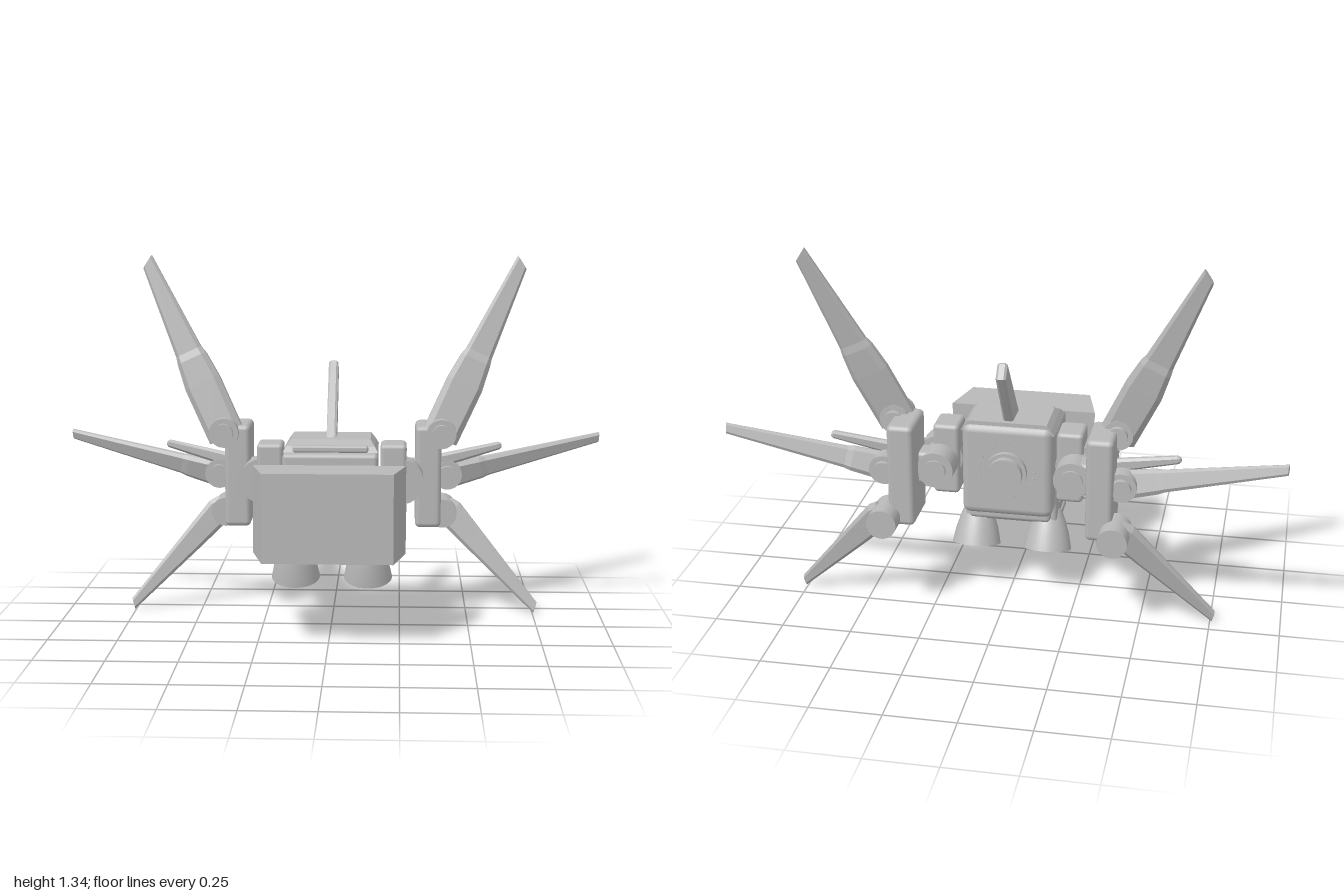
import * as THREE from 'three';
import { RoundedBoxGeometry } from 'three/addons/geometries/RoundedBoxGeometry.js';

const grey = new THREE.MeshStandardMaterial({ color: 0xb8b8b8 });
grey.name = 'grey';

function add(parent, name, geometry, x = 0, y = 0, z = 0) {
  const mesh = new THREE.Mesh(geometry, grey);
  mesh.name = name;
  mesh.position.set(x, y, z);
  parent.add(mesh);
  return mesh;
}

const block = (w, h, d, r = 0.015) => new RoundedBoxGeometry(w, h, d, 2, r);

// Cylinder along z, between two depths
function drum(parent, name, r, x, y, z0, z1) {
  const g = new THREE.CylinderGeometry(r, r, Math.abs(z1 - z0), 32).rotateX(Math.PI / 2);
  return add(parent, name, g, x, y, (z0 + z1) / 2);
}

// Faceted solid through matching rings of points, counter-clockwise about the path
function loft(rings) {
  const pos = [];
  const tri = (...p) => p.forEach(v => pos.push(v.x, v.y, v.z));
  const n = rings[0].length;
  for (let k = 0; k < rings.length - 1; k++) {
    const a = rings[k], b = rings[k + 1];
    for (let i = 0; i < n; i++) {
      const j = (i + 1) % n;
      tri(a[i], a[j], b[j]);
      tri(a[i], b[j], b[i]);
    }
  }
  const first = rings[0], last = rings[rings.length - 1];
  for (let i = 1; i < n - 1; i++) {
    tri(first[0], first[i + 1], first[i]);
    tri(last[0], last[i], last[i + 1]);
  }
  const g = new THREE.BufferGeometry();
  g.setAttribute('position', new THREE.Float32BufferAttribute(pos, 3));
  g.computeVertexNormals();
  return g;
}

// Bevelled blade; each station is [lower edge t, upper edge t, lower u, upper u, half thickness]
function blade(parent, name, s, pivot, tip, across, stations) {
  const a = new THREE.Vector3(s * pivot[0], pivot[1], pivot[2]);
  const axis = new THREE.Vector3(s * tip[0], tip[1], tip[2]).sub(a);
  const d = axis.clone().normalize();
  const u = new THREE.Vector3(s * across[0], across[1], across[2]);
  u.addScaledVector(d, -u.dot(d)).normalize();
  const n = d.clone().cross(u);
  const rings = stations.map(([t0, t1, lo, hi, h]) => {
    const c = Math.min(h * 0.7, (hi - lo) * 0.25), e = h * 0.4;
    return [[hi, -e], [hi, e], [hi - c, h], [lo + c, h], [lo, e], [lo, -e], [lo + c, -h], [hi - c, -h]]
      .map(([v, w]) => {
        const t = t0 + (t1 - t0) * (v - lo) / (hi - lo);
        return a.clone().addScaledVector(axis, t).addScaledVector(u, v).addScaledVector(n, w);
      });
  });
  add(parent, name, loft(rings));
}

// Hinge barrel with a smaller pin through it
function hinge(parent, name, x, y, z0, z1) {
  drum(parent, name + 'Barrel', 0.054, x, y, z0 - 0.02, z1 + 0.02);
  drum(parent, name + 'Pin', 0.036, x, y, z0, z1);
}

function buildBody(root) {
  const body = new THREE.Group();
  body.name = 'body';
  root.add(body);
  add(body, 'frontBody', block(0.34, 0.38, 0.2), 0, 0.47, 0.03);
  add(body, 'rearBody', block(0.33, 0.35, 0.17, 0.03), 0, 0.515, -0.07);
  add(body, 'lowerStep', block(0.3, 0.07, 0.15), 0, 0.335, -0.03);
  add(body, 'bottomPlate', block(0.36, 0.03, 0.14, 0.01), 0, 0.3, 0.03);

  // Sloping cap on top
  const cap = [[0.66, 0.17, 0.09], [0.68, 0.158, 0.075], [0.7, 0.142, 0.035]].map(([y, x, z]) =>
    [[x, z], [x, -0.14], [-x, -0.14], [-x, z]].map(([px, pz]) => new THREE.Vector3(px, y, pz)));
  add(body, 'topCap', loft(cap));
  add(body, 'topRidge', block(0.27, 0.025, 0.03, 0.008), 0, 0.672, 0.08);

  // Leaning fin
  const fin = new THREE.Shape([[0, 0.69], [0.215, 0.955], [0.225, 0.955], [0.262, 0.91], [0.115, 0.69]]
    .map(p => new THREE.Vector2(...p)));
  const finGeo = new THREE.ExtrudeGeometry(fin, {
    depth: 0.02, bevelThickness: 0.008, bevelSize: 0.006, bevelOffset: -0.006, bevelSegments: 1,
  }).translate(0, 0, -0.01).rotateY(Math.PI / 2);
  add(body, 'topFin', finGeo);

  // Round hub and rivets on the back
  drum(body, 'rearHub', 0.062, 0, 0.52, -0.2, -0.14);
  drum(body, 'rearHubFlange', 0.075, 0, 0.52, -0.175, -0.14);
  for (let i = 0; i < 24; i++) {
    const a = i / 24 * Math.PI * 2;
    drum(body, 'rivet', 0.005, 0.1 * Math.cos(a), 0.52 + 0.1 * Math.sin(a), -0.158, -0.15);
  }

  // Separate tapered block in front
  const box = [[0.18, 0.27], [0.355, 0.227]].map(([z, x]) =>
    [[x, 0.315], [x, 0.63], [-x, 0.63], [-x, 0.315]].map(([px, py]) => new THREE.Vector3(px, py, z)));
  add(root, 'frontBlock', loft(box));
}

function buildThruster(root, s) {
  const g = new THREE.Group();
  g.name = 'thruster';
  // Closed hollow bell, listed from inside throat to outside top
  const bell = [[0, 0.1], [0.04, 0.1], [0.066, 0.05], [0.081, 0], [0.081, 0], [0.089, 0], [0.089, 0],
    [0.078, 0.055], [0.062, 0.105], [0.045, 0.148], [0.045, 0.148], [0, 0.148]];
  add(g, 'bell', new THREE.LatheGeometry(bell.map(p => new THREE.Vector2(...p)), 36));
  add(g, 'neck', new THREE.CylinderGeometry(0.05, 0.042, 0.03, 32), 0, 0.165, 0);
  add(g, 'neckRing', new THREE.CylinderGeometry(0.045, 0.045, 0.05, 32), 0, 0.195, 0);
  add(g, 'mount', new THREE.CylinderGeometry(0.053, 0.053, 0.07, 32), 0, 0.245, 0);
  g.position.set(s * 0.133, 0.175, -0.05);
  g.rotation.x = 0.286;
  root.add(g);
}

function buildWing(root, s) {
  const wing = new THREE.Group();
  wing.name = s > 0 ? 'leftWing' : 'rightWing';
  root.add(wing);

  // Shoulder block, swivel and upright carrier
  add(wing, 'shoulderBlock', block(0.095, 0.265, 0.125), s * 0.225, 0.54, -0.077);
  drum(wing, 'swivelFront', 0.083, s * 0.252, 0.535, -0.11, -0.02);
  drum(wing, 'swivelRear', 0.066, s * 0.246, 0.535, -0.23, -0.1);
  drum(wing, 'swivelCap', 0.04, s * 0.246, 0.535, -0.24, -0.22);
  add(wing, 'swivelArm', block(0.08, 0.12, 0.09), s * 0.28, 0.535, -0.175);
  add(wing, 'carrier', block(0.095, 0.38, 0.195, 0.018), s * 0.353, 0.535, -0.21);

  // Hinges
  hinge(wing, 'upperHinge', s * 0.4, 0.7, -0.065, -0.205);
  hinge(wing, 'middleHinge', s * 0.425, 0.535, -0.145, -0.28);
  hinge(wing, 'lowerHinge', s * 0.41, 0.375, -0.355, -0.255);

  // Blades
  blade(wing, 'upperBlade', s, [0.4, 0.7, -0.145], [0.693, 1.328, -0.258], [0.91, -0.42, 0], [
    [-0.03, -0.03, -0.066, 0.07, 0.03], [0.28, 0.28, -0.066, 0.072, 0.027], [0.42, 0.42, -0.056, 0.06, 0.024],
    [0.46, 0.46, -0.048, 0.054, 0.018], [1.01, 0.965, -0.019, 0.03, 0.011]]);
  blade(wing, 'middleBlade', s, [0.42, 0.53, -0.207], [0.995, 0.665, -0.285], [-0.229, 0.973, 0.35], [
    [0, 0, -0.056, 0.049, 0.022], [0.22, 0.22, -0.047, 0.042, 0.02],
    [0.26, 0.26, -0.042, 0.037, 0.016], [0.99, 1.005, -0.019, 0.018, 0.01]]);
  blade(wing, 'lowerBlade', s, [0.41, 0.375, -0.295], [0.762, 0.025, -0.185], [0.707, 0.707, 0], [
    [0, -0.02, -0.035, 0.06, 0.02], [0.1, 0.05, -0.032, 0.07, 0.02],
    [0.3, 0.3, -0.03, 0.056, 0.016], [1.015, 0.975, -0.018, 0.018, 0.011]]);
  blade(wing, 'smallBlade', s, [0.4, 0.59, -0.18], [0.625, 0.643, -0.215], [-0.229, 0.973, 0], [
    [0, 0, -0.026, 0.024, 0.014], [0.96, 0.96, -0.014, 0.014, 0.013], [1, 1, -0.008, 0.008, 0.008]]);
}

export function createModel() {
  const root = new THREE.Group();
  root.name = 'wingedBackpack';
  buildBody(root);
  for (const s of [1, -1]) {
    buildThruster(root, s);
    buildWing(root, s);
  }
  return root;
}
